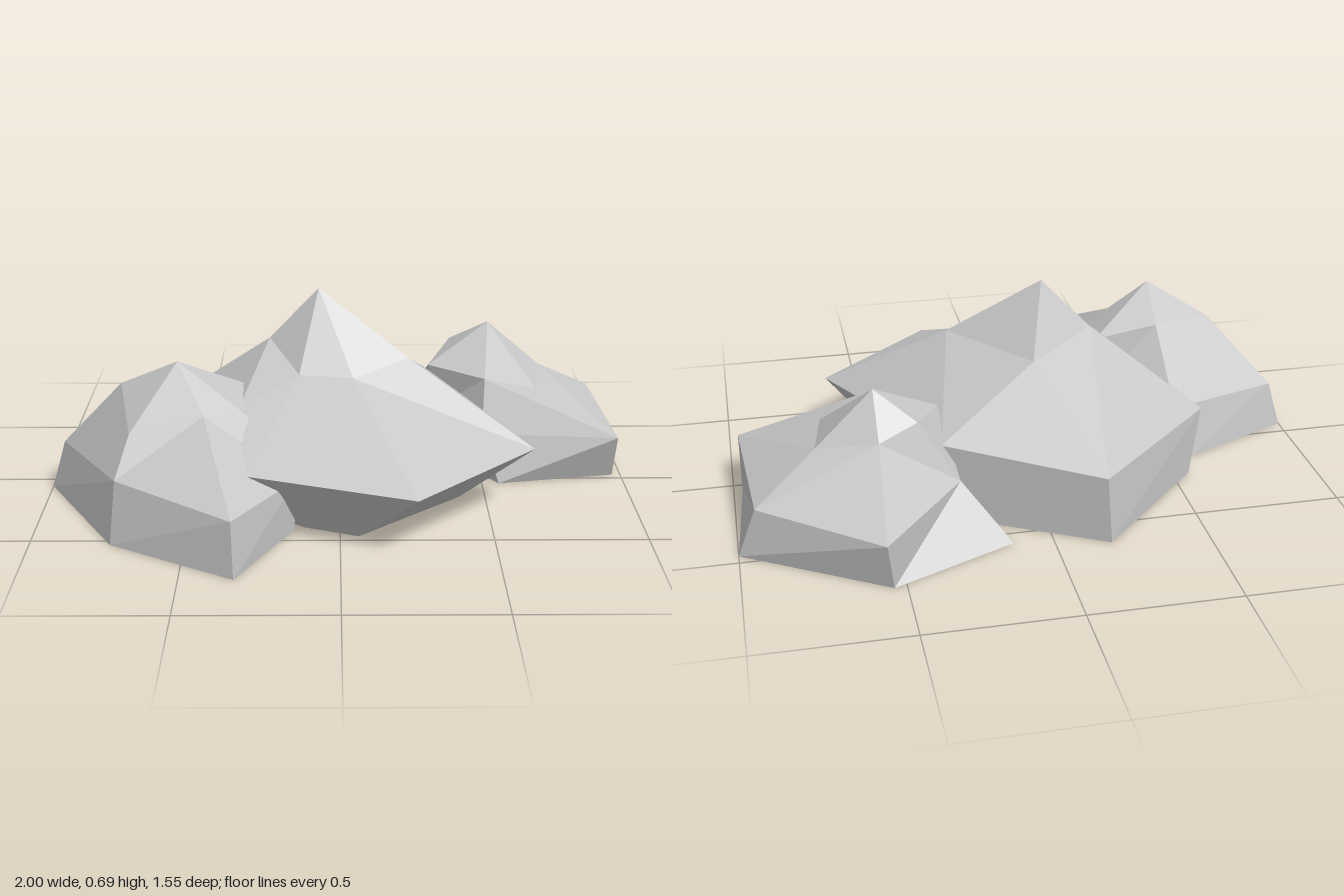
import * as THREE from 'three';

const stone = new THREE.MeshStandardMaterial({ color: 0xc8c8c8, flatShading: true, side: THREE.DoubleSide });
stone.name = 'grey stone';

// Angles of a ring around the peak, increasing from the start angle
function ringAngles(ring, peak, start) {
  let last = start;
  const angles = ring.map(([x, , z]) => {
    let a = Math.atan2(z - peak[2], x - peak[0]);
    while (a < last - Math.PI) a += 2 * Math.PI;
    while (a > last + Math.PI) a -= 2 * Math.PI;
    return (last = a);
  });
  return [...angles, angles[0] + 2 * Math.PI];
}

// Faces between two rings, which may differ in point count
function stitch(low, high, peak, out) {
  const la = ringAngles(low, peak, Math.atan2(low[0][2] - peak[2], low[0][0] - peak[0]));
  const ha = ringAngles(high, peak, la[0]);
  const L = (i) => low[i % low.length];
  const H = (j) => high[j % high.length];
  let i = 0, j = 0;
  while (i < low.length || j < high.length) {
    if (j === high.length || (i < low.length && la[i + 1] <= ha[j + 1])) {
      out.push(...L(i), ...H(j), ...L(i + 1));
      i++;
    } else {
      out.push(...L(i), ...H(j), ...H(j + 1));
      j++;
    }
  }
}

// One boulder: foot on the ground, widest belt, shoulder and peak; open underneath
function boulder(name, { foot, belt, shoulder, peak }) {
  const p = [];
  const n = belt.length;
  const ground = foot.map(([x, z]) => [x, 0, z]);
  for (let i = 0; i < n; i++) {
    const k = (i + 1) % n;
    p.push(...ground[i], ...belt[i], ...ground[k]);
    p.push(...ground[k], ...belt[i], ...belt[k]);
  }
  stitch(belt, shoulder, peak, p);
  shoulder.forEach((s, i) => p.push(...s, ...peak, ...shoulder[(i + 1) % shoulder.length]));
  const geometry = new THREE.BufferGeometry();
  geometry.setAttribute('position', new THREE.Float32BufferAttribute(p, 3));
  geometry.computeVertexNormals();
  const mesh = new THREE.Mesh(geometry, stone);
  mesh.name = name;
  return mesh;
}

export function createModel() {
  const group = new THREE.Group();
  group.name = 'rocks';

  // Large rock in the middle
  group.add(boulder('middleRock', {
    foot: [[0.41, 0.16], [0.06, 0.47], [-0.12, 0.4], [-0.35, 0.2], [-0.56, -0.23], [-0.18, -0.62], [0.23, -0.4]],
    belt: [[0.645, 0.235, 0.3], [0.24, 0.22, 0.685], [-0.3, 0.24, 0.535], [-0.33, 0.37, 0.25],
      [-0.605, 0.23, -0.195], [-0.16, 0.24, -0.63], [0.33, 0.28, -0.375]],
    shoulder: [[0.235, 0.48, 0.085], [0.045, 0.44, 0.175], [-0.135, 0.445, 0.155], [-0.24, 0.51, -0.05], [0, 0.49, -0.25]],
    peak: [-0.07, 0.69, -0.04],
  }));

  // Rock at the front on the model's right
  group.add(boulder('frontRock', {
    foot: [[-0.41, 0.12], [-0.15, 0.42], [-0.33, 0.775], [-0.74, 0.53], [-1, 0.06], [-0.605, -0.115]],
    belt: [[-0.3, 0.2, 0.08], [-0.14, 0.18, 0.42], [-0.335, 0.19, 0.765], [-0.72, 0.21, 0.5],
      [-0.95, 0.17, 0.06], [-0.54, 0.19, -0.1]],
    shoulder: [[-0.3, 0.39, 0.1], [-0.31, 0.36, 0.3], [-0.44, 0.385, 0.38], [-0.68, 0.33, 0.4],
      [-0.73, 0.42, 0.16], [-0.515, 0.435, 0.08]],
    peak: [-0.53, 0.53, 0.26],
  }));

  // Small rock at the back on the model's left
  group.add(boulder('backRock', {
    foot: [[0.97, -0.03], [0.56, 0.045], [0.32, -0.31], [0.13, -0.56], [0.54, -0.74], [1, -0.46]],
    belt: [[0.97, 0.17, 0.045], [0.5, 0.17, 0], [0.36, 0.2, -0.2], [0.28, 0.18, -0.44],
      [0.56, 0.17, -0.775], [0.94, 0.18, -0.49]],
    shoulder: [[0.7, 0.29, -0.13], [0.51, 0.35, -0.065], [0.32, 0.35, -0.22], [0.41, 0.39, -0.41],
      [0.54, 0.35, -0.455], [0.735, 0.305, -0.36]],
    peak: [0.54, 0.48, -0.325],
  }));

  return group;
}
